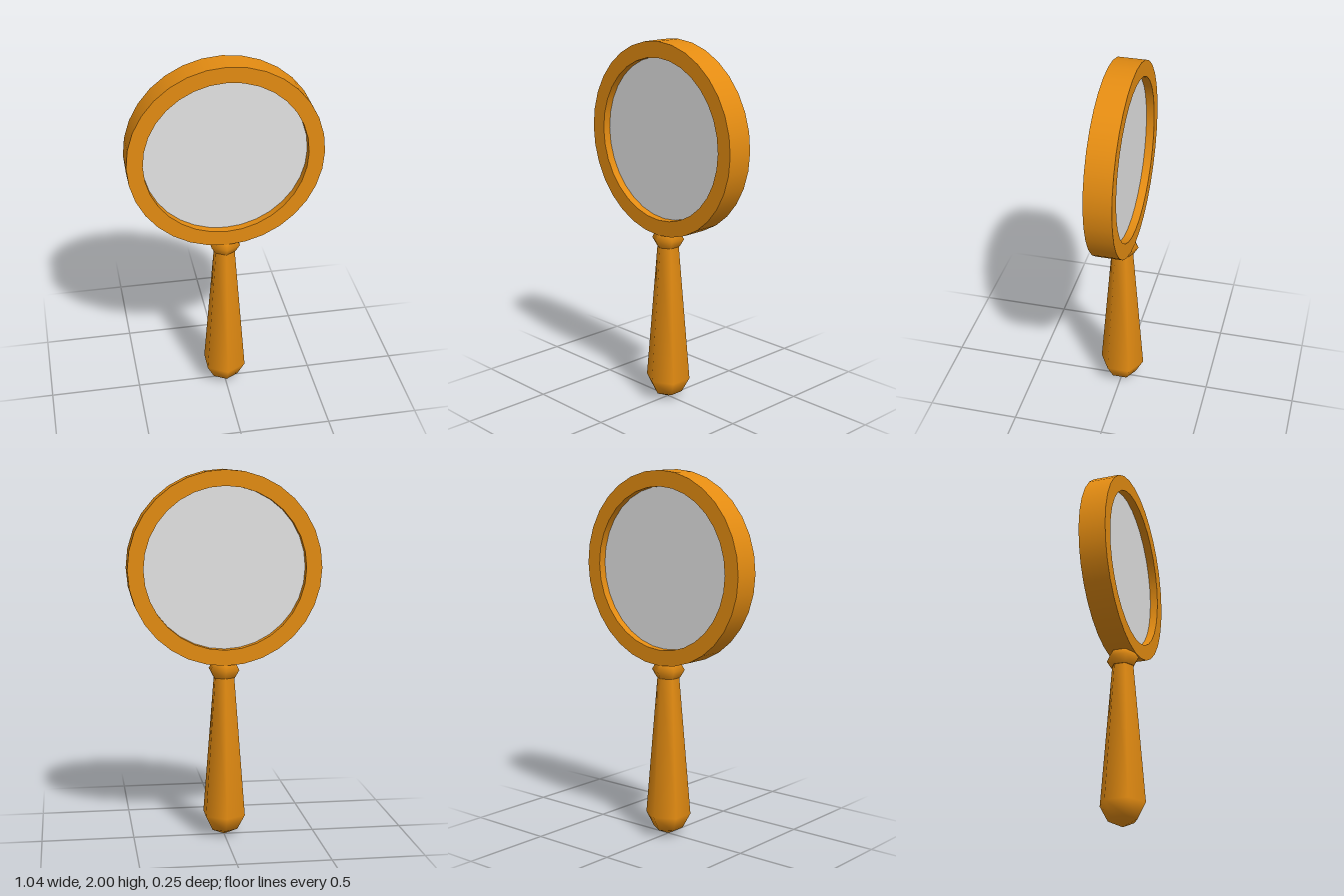
import * as THREE from 'three';
import { mergeGeometries } from 'three/addons/utils/BufferGeometryUtils.js';

const RIM_SIDES = 32;
const RIM_Y = 1.48;

// Turned shape whose listed profiles stay sharp against each other
function turned(profiles, sides) {
  return mergeGeometries(profiles.map((profile) =>
    new THREE.LatheGeometry(profile.map(([r, y]) => new THREE.Vector2(r, y)), sides)));
}

export function createModel() {
  const wood = new THREE.MeshStandardMaterial({ color: 0xe48c12 });
  wood.name = 'orange wood';
  const glass = new THREE.MeshStandardMaterial({ color: 0xe4e4e4 });
  glass.name = 'pale grey glass';

  const group = new THREE.Group();
  group.name = 'handGlass';

  function add(name, geometry, material, y = 0) {
    const mesh = new THREE.Mesh(geometry, material);
    mesh.name = name;
    mesh.position.y = y;
    group.add(mesh);
  }

  // Rim: four sharp-edged bands around a rectangular section, turned to face the front
  const section = [[0.52, -0.073], [0.52, 0.073], [0.435, 0.073], [0.435, -0.073]];
  const bands = section.map((point, i) => [point, section[(i + 1) % 4]]);
  add('rim', turned(bands, RIM_SIDES).rotateX(Math.PI / 2), wood, RIM_Y);

  // Lens disc, recessed on both faces
  add('lens', new THREE.CylinderGeometry(0.436, 0.436, 0.06, RIM_SIDES).rotateX(Math.PI / 2), glass, RIM_Y);

  // Six-sided smooth handle, tapering upwards
  add('handle', turned([[[0, 0], [0.08, 0.037], [0.124, 0.12], [0.06, 0.89]]], 6), wood);

  // Collar joining the handle to the rim
  add('collar', turned([
    [[0, 0.886], [0.064, 0.886]],
    [[0.064, 0.886], [0.09, 0.93], [0.068, 0.966]],
    [[0.068, 0.966], [0, 0.966]],
  ], 6), wood);

  return group;
}
